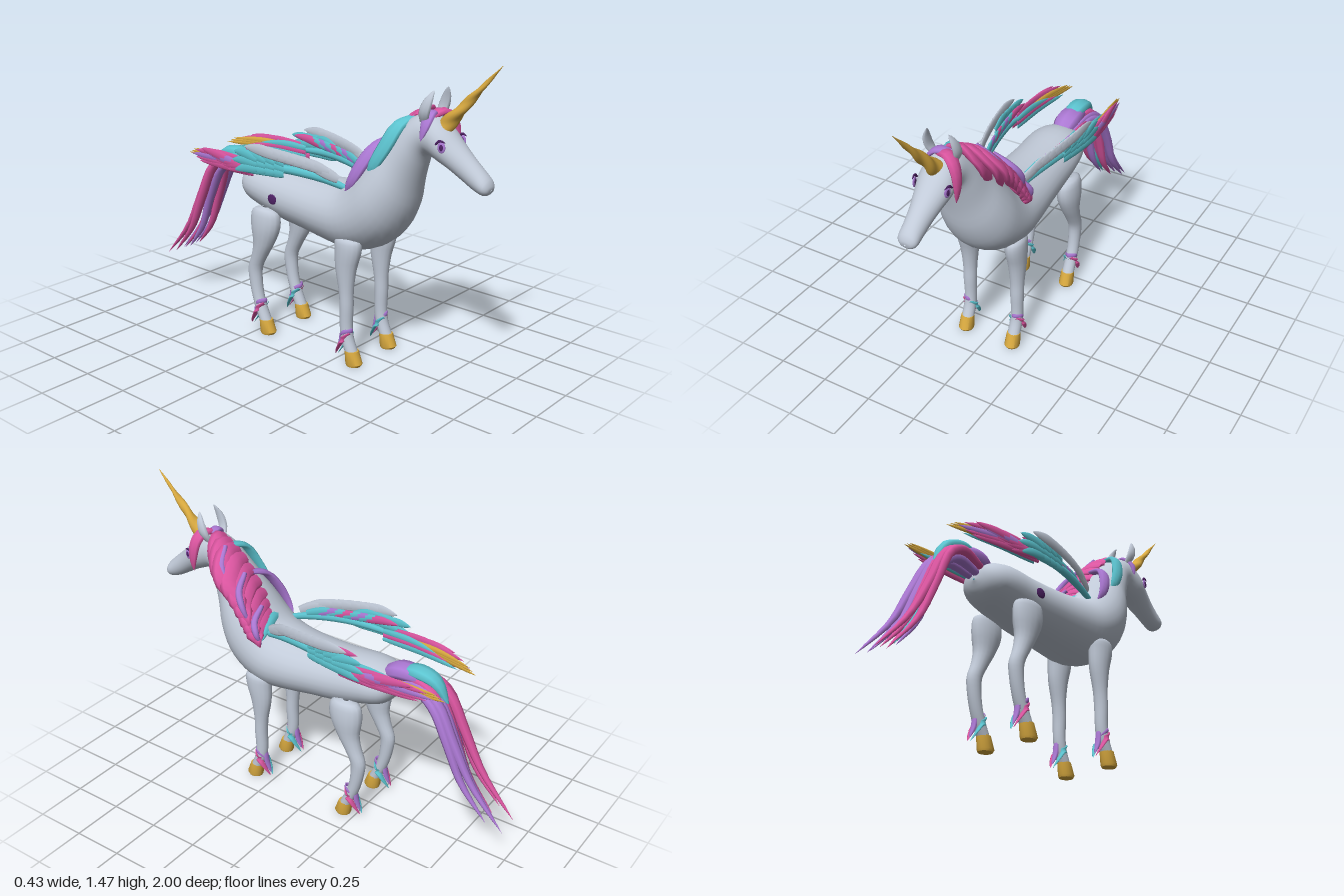
import * as THREE from 'three';
import { toCreasedNormals } from 'three/addons/utils/BufferGeometryUtils.js';

const V = (x, y, z) => new THREE.Vector3(x, y, z);
const mat = (name, color) => new THREE.MeshStandardMaterial({ name, color });

// Skin a list of closed rings, each turning counter-clockwise about the direction of travel
function skin(rings) {
  const n = rings[0].length, pos = [], idx = [];
  rings.forEach((r) => r.forEach((p) => pos.push(p.x, p.y, p.z)));
  for (let i = 0; i < rings.length - 1; i++) {
    for (let j = 0; j < n; j++) {
      const a = i * n + j, b = i * n + (j + 1) % n;
      idx.push(a, b, a + n, b, b + n, a + n);
    }
  }
  const g = new THREE.BufferGeometry();
  g.setAttribute('position', new THREE.Float32BufferAttribute(pos, 3));
  g.setIndex(idx);
  g.computeVertexNormals();
  return g;
}

// Loft of ellipses: each row is [topZ, topY, bottomZ, bottomY, halfWidth]
function loft(rows, x, sub, sides) {
  const top = new THREE.CatmullRomCurve3(rows.map((r) => V(r[4], r[1], r[0])));
  const bottom = new THREE.CatmullRomCurve3(rows.map((r) => V(r[4], r[3], r[2])));
  const rings = [], steps = (rows.length - 1) * sub;
  for (let i = 0; i <= steps; i++) {
    const a = top.getPoint(i / steps), b = bottom.getPoint(i / steps), ring = [];
    for (let j = 0; j < sides; j++) {
      const t = (j / sides) * Math.PI * 2, c = Math.cos(t) / 2;
      ring.push(V(x - a.x * Math.sin(t), (a.y + b.y) / 2 + (a.y - b.y) * c, (a.z + b.z) / 2 + (a.z - b.z) * c));
    }
    rings.push(ring);
  }
  return skin(rings);
}

// Tapered flattened lock of hair or feather; the wide axis follows the hint
function strand(points, wide, thick, hint, steps = 12, sides = 8) {
  const curve = new THREE.CatmullRomCurve3(points.map((p) => V(...p)));
  const rings = [];
  for (let i = 0; i <= steps; i++) {
    const t = i / steps, p = curve.getPoint(t), T = curve.getTangent(t);
    const S = hint.clone().addScaledVector(T, -hint.dot(T)).normalize();
    const N = T.clone().cross(S);
    const k = Math.pow(Math.max(Math.sin(Math.PI * (0.18 + 0.82 * t)), 0.001), 0.7);
    const ring = [];
    for (let j = 0; j < sides; j++) {
      const a = (j / sides) * Math.PI * 2;
      ring.push(p.clone().addScaledVector(S, wide * k * Math.cos(a)).addScaledVector(N, thick * k * Math.sin(a)));
    }
    rings.push(ring);
  }
  return skin(rings);
}

export function createModel() {
  const coat = mat('coat', 0xc1cad8), pink = mat('pink hair', 0xdb55a0), teal = mat('teal hair', 0x5cc4d0);
  const purple = mat('purple hair', 0xab78d3), gold = mat('gold', 0xd9aa40), dark = mat('eye dark', 0x4f2266);
  const model = new THREE.Group();
  model.name = 'wingedUnicorn';
  const add = (name, geo, material, parent = model) => {
    const m = new THREE.Mesh(geo, material);
    m.name = name;
    parent.add(m);
    return m;
  };
  const group = (name) => {
    const g = new THREE.Group();
    g.name = name;
    model.add(g);
    return g;
  };
  const X = V(1, 0, 0), Y = V(0, 1, 0), Z = V(0, 0, 1);

  // Trunk, neck and head in one smooth skin
  add('body', loft([
    [-0.41, 0.735, -0.41, 0.725, 0.005], [-0.4, 0.785, -0.385, 0.675, 0.08], [-0.36, 0.82, -0.345, 0.64, 0.122],
    [-0.27, 0.84, -0.27, 0.615, 0.145], [-0.12, 0.832, -0.13, 0.578, 0.152], [0.02, 0.828, 0.02, 0.56, 0.165],
    [0.15, 0.835, 0.16, 0.54, 0.18], [0.25, 0.86, 0.29, 0.529, 0.19], [0.31, 0.91, 0.41, 0.565, 0.19],
    [0.36, 0.97, 0.51, 0.645, 0.183], [0.41, 1.03, 0.573, 0.76, 0.158], [0.46, 1.09, 0.603, 0.88, 0.125],
    [0.52, 1.15, 0.63, 0.975, 0.104], [0.57, 1.195, 0.65, 1.03, 0.09], [0.63, 1.222, 0.665, 1.045, 0.083],
    [0.68, 1.222, 0.685, 1.04, 0.082], [0.75, 1.182, 0.73, 1.022, 0.084], [0.81, 1.127, 0.78, 0.998, 0.07],
    [0.87, 1.073, 0.845, 0.96, 0.055], [0.925, 1.025, 0.9, 0.93, 0.049], [0.962, 0.988, 0.945, 0.917, 0.046],
    [0.973, 0.962, 0.965, 0.925, 0.028], [0.973, 0.947, 0.971, 0.94, 0.003],
  ], 0, 3, 28), coat);

  // Small dark spot on the right flank
  const spot = add('flankSpot', new THREE.SphereGeometry(1, 16, 10), dark);
  spot.scale.set(0.005, 0.025, 0.028);
  spot.position.set(-0.152, 0.71, -0.13);

  // Legs with rows of [y, frontZ, backZ, halfWidth], hooves and fetlock hair
  const foreRows = [[0.63, 0.33, 0.3, 0.012], [0.61, 0.385, 0.25, 0.042], [0.56, 0.388, 0.248, 0.047],
    [0.47, 0.362, 0.252, 0.042], [0.36, 0.346, 0.274, 0.034], [0.28, 0.346, 0.281, 0.033],
    [0.19, 0.343, 0.281, 0.03], [0.13, 0.35, 0.288, 0.03], [0.06, 0.377, 0.315, 0.031]];
  const hindRows = [[0.655, -0.18, -0.21, 0.012], [0.635, -0.115, -0.27, 0.042], [0.56, -0.11, -0.28, 0.052],
    [0.47, -0.15, -0.267, 0.044], [0.4, -0.192, -0.28, 0.037], [0.33, -0.227, -0.304, 0.033],
    [0.26, -0.23, -0.298, 0.031], [0.19, -0.22, -0.282, 0.03], [0.13, -0.2, -0.262, 0.03], [0.06, -0.168, -0.23, 0.031]];
  for (const s of [1, -1]) {
    for (const [label, rows, dz] of [['front', foreRows, 0], ['hind', hindRows, -0.545]]) {
      const g = group(label + (s > 0 ? 'LeftLeg' : 'RightLeg')), x = 0.13 * s;
      add('leg', loft(rows.map(([y, f, b, w]) => [f, y, b, y, w]), x, 3, 16), coat, g);
      const hoof = loft([[0.34, 0.072, 0.34, 0.072, 0], [0.38, 0.072, 0.311, 0.072, 0.032],
        [0.402, 0.012, 0.318, 0.012, 0.037], [0.394, 0, 0.322, 0, 0.033], [0.36, 0, 0.36, 0, 0]], x, 1, 16);
      hoof.translate(0, 0, dz);
      add('hoof', toCreasedNormals(hoof, 0.7), gold, g);
      const z = 0.315 + dz;
      const lock = (k, y, m, name) => add(name, strand([[x + k * 0.008, y, z + 0.027], [x + k * 0.028, y - 0.02, z + 0.005],
        [x + k * 0.022, y - 0.07, z - 0.028], [x + k * 0.008, y - 0.125, z - 0.06]], 0.018, 0.006, V(0, 0.8, 0.5)), m, g);
      lock(s, 0.155, pink, 'outerFetlockHair');
      lock(-s, 0.15, teal, 'innerFetlockHair');
      add('fetlockBand', strand([[x - s * 0.026, 0.155, z + 0.005], [x, 0.168, z + 0.029], [x + s * 0.029, 0.165, z + 0.006],
        [x + s * 0.015, 0.13, z - 0.034]], 0.012, 0.005, Y), purple, g);
      add('backFetlockHair', strand([[x, 0.16, z - 0.025], [x, 0.1, z - 0.033], [x, 0.045, z - 0.056]], 0.018, 0.009, X), purple, g);
    }
  }

  // Spiral horn: a cone with a twisting ridge
  const horn = new THREE.CylinderGeometry(0.001, 0.034, 0.39, 18, 40);
  const hp = horn.attributes.position;
  for (let i = 0; i < hp.count; i++) {
    const y = hp.getY(i), k = 1 + 0.14 * Math.sin(2 * Math.atan2(hp.getZ(i), hp.getX(i)) + y * 45);
    hp.setXYZ(i, hp.getX(i) * k, y, hp.getZ(i) * k);
  }
  horn.computeVertexNormals();
  const hornMesh = add('horn', horn, gold);
  hornMesh.position.set(0, 1.325, 0.868);
  hornMesh.rotation.x = 0.74;

  // Ears and eyes
  for (const s of [1, -1]) {
    add('ear', strand([[0.05 * s, 1.19, 0.655], [0.07 * s, 1.24, 0.672], [0.068 * s, 1.29, 0.69], [0.052 * s, 1.338, 0.708]], 0.027, 0.013, Z), coat);
    const face = group('eye');
    const iris = add('iris', new THREE.SphereGeometry(1, 16, 12), purple, face);
    iris.scale.set(0.005, 0.024, 0.018);
    const pupil = add('pupil', new THREE.SphereGeometry(1, 16, 12), dark, face);
    pupil.scale.set(0.0065, 0.018, 0.012);
    add('eyelash', strand([[0, 0.01, -0.028], [0.003 * s, 0.028, -0.008], [0.002 * s, 0.022, 0.02]], 0.006, 0.004, Y), dark, face);
    face.position.set(0.08 * s, 1.108, 0.772);
    face.rotation.y = -0.2 * s;
  }

  // Mane: broad overlapping locks falling over the left side of the neck
  const mane = group('mane');
  const crest = new THREE.CatmullRomCurve3([V(0, 1.205, 0.61), V(0, 1.17, 0.54), V(0, 1.085, 0.455), V(0, 0.98, 0.385), V(0, 0.9, 0.335)]);
  const count = 9;
  for (let i = 0; i < count; i++) {
    const t = i / (count - 1), c = crest.getPoint(t), f = 1 - 0.45 * t * t, out = [0.62, 0.86][i] ?? 1;
    const path = [[-0.015, c.y, c.z], [0.07 * out, c.y + 0.01, c.z - 0.01], [0.15 * out, c.y - 0.055 * f, c.z - 0.04 * f],
      [0.175 * out, c.y - 0.13 * f, c.z - 0.085 * f], [(0.168 - 0.02 * t) * out, c.y - 0.22 * f, c.z - 0.13 * f + 0.02 * t]];
    add('maneLock', strand(path, 0.05, 0.021, V(0, 0.7, 0.7)), pink, mane);
    if (i % 3 === 1) {
      add('maneStreak', strand(path.slice(1).map((p) => [p[0] + 0.009, p[1] + 0.01, p[2] - 0.024]), 0.017, 0.017, V(0, 0.7, 0.7)), purple, mane);
    }
  }
  add('lowTealLock', strand([[-0.02, 0.885, 0.305], [0.05, 0.885, 0.295], [0.11, 0.86, 0.285], [0.15, 0.81, 0.28]], 0.028, 0.016, V(0, 0.7, 0.7)), teal, mane);
  // Locks on the right side of the neck
  add('rightTealLock', strand([[0.01, 1.19, 0.56], [-0.065, 1.165, 0.54], [-0.11, 1.07, 0.5], [-0.128, 0.98, 0.45], [-0.125, 0.93, 0.42]], 0.038, 0.016, Z), teal, mane);
  add('rightPurpleLock', strand([[0.01, 1.08, 0.44], [-0.07, 1.05, 0.42], [-0.12, 0.97, 0.38], [-0.14, 0.89, 0.34], [-0.135, 0.83, 0.3]], 0.036, 0.016, Z), purple, mane);
  // Forelock
  add('forelock', strand([[-0.02, 1.215, 0.67], [0.04, 1.232, 0.695], [0.083, 1.19, 0.715], [0.098, 1.11, 0.725], [0.093, 1.035, 0.73]], 0.034, 0.018, Z), pink, mane);
  add('forelockCurl', strand([[0.03, 1.225, 0.66], [-0.03, 1.228, 0.675], [-0.07, 1.185, 0.68], [-0.09, 1.12, 0.67]], 0.03, 0.013, Z), purple, mane);

  // Folded wings: rows of feathers lying on a gently bowed upright sheet
  const bow = (z) => 0.187 - (z > -0.22 ? 0.36 : 0.2) * (z + 0.22) ** 2;
  for (const s of [1, -1]) {
    const wing = group(s > 0 ? 'leftWing' : 'rightWing');
    const feather = (name, z0, y0, z1, y1, w, m, dx = 0) => {
      const zm = (z0 + z1) / 2, at = (z, y) => [s * (bow(z) + dx), y, z];
      add(name, strand([at(z0, y0), at(zm, (y0 + y1) / 2 + 0.008), at(z1, y1)], w, 0.008, Y, 10, 8), m, wing);
    };
    add('wingArm', strand([[0.1 * s, 0.835, 0.29], [0.125 * s, 0.865, 0.17], [0.16 * s, 0.88, 0], [0.185 * s, 0.87, -0.18],
      [0.185 * s, 0.85, -0.33]], 0.022, 0.016, Y), teal, wing);
    // Pale coverts along the upper edge, teal ones behind them
    for (let i = 0; i < 8; i++) {
      const t = i / 7;
      feather('covertFeather', 0.25 - 0.29 * t, 0.875 + 0.068 * Math.sqrt(t), 0.09 - 0.34 * t, 0.925 + 0.035 * Math.sqrt(t), 0.029, coat, 0.012 + 0.012 * t);
      feather('innerCovert', 0.2 - 0.28 * t, 0.88 + 0.03 * t, 0.02 - 0.3 * t, 0.915 + 0.02 * t, 0.022, [teal, purple, teal, pink][i % 4], -0.016);
    }
    // Teal cluster with ragged tips
    for (let i = 0; i < 4; i++) {
      for (let j = 0; j < 3; j++) {
        feather('middleFeather', -0.02 - 0.05 * i, 0.862 + 0.022 * j, -0.17 - 0.052 * i - 0.015 * (j % 2), 0.845 + 0.046 * j - 0.004 * i, 0.024, teal, 0.012 + 0.003 * i);
      }
    }
    // Long trailing feathers
    const tones = [pink, pink, purple, pink, pink];
    for (let i = 0; i < 5; i++) {
      feather('longFeather', -0.2 - 0.015 * i, 0.835 + 0.012 * i, -0.6 - 0.035 * (i % 3), 0.818 + 0.012 * i, 0.022, tones[i], 0.012);
      feather('shortPinkFeather', -0.18 - 0.03 * i, 0.855, -0.38 - 0.05 * i, 0.822 + 0.016 * i, 0.024, i === 3 ? purple : pink, 0.017);
    }
    for (let i = 0; i < 3; i++) {
      feather('goldFeather', -0.3, 0.845 + 0.01 * i, -0.715 + 0.02 * i, 0.835 + 0.012 * i, 0.018, gold, -0.004);
      feather('innerTealFeather', -0.2, 0.84 + 0.02 * i, -0.62 + 0.06 * i, 0.83 + 0.016 * i, 0.02, i === 1 ? pink : teal, -0.017);
    }
  }

  // Tail: wrapped root, then long locks that arch and fall
  const tail = group('tail');
  add('tailRoot', strand([[0, 0.79, -0.33], [0, 0.825, -0.4], [0, 0.825, -0.5], [0, 0.8, -0.58]], 0.062, 0.04, X), purple, tail);
  add('tailWrap', strand([[0, 0.835, -0.42], [0, 0.848, -0.5], [0, 0.825, -0.59], [0, 0.72, -0.66]], 0.05, 0.03, X), teal, tail);
  const locks = [[-0.053, 0.2, -1, pink], [0.058, 0.2, -1, purple], [0.078, 0.235, -0.925, purple], [-0.068, 0.235, -0.92, pink],
    [0.005, 0.24, -0.92, pink], [-0.022, 0.26, -0.86, purple], [0.04, 0.265, -0.855, pink], [0.025, 0.22, -0.95, purple]];
  locks.forEach(([x, y, z, m], i) => {
    const d = (i % 3) * 0.014, e = z + 1;
    add('tailLock', strand([[x * 0.4, 0.785 - d, -0.4], [x * 0.65, 0.815 - d, -0.52], [x * 0.85, 0.765 - d, -0.625 + e * 0.1],
      [x, 0.58, -0.725 + e * 0.25], [x, 0.4, -0.825 + e * 0.5], [x, y, z]], 0.03, 0.023, X, 18), m, tail);
  });
  add('tealTailLock', strand([[-0.01, 0.5, -0.72], [-0.008, 0.4, -0.77], [-0.01, 0.27, -0.86]], 0.014, 0.012, X), teal, tail);
  return model;
}
